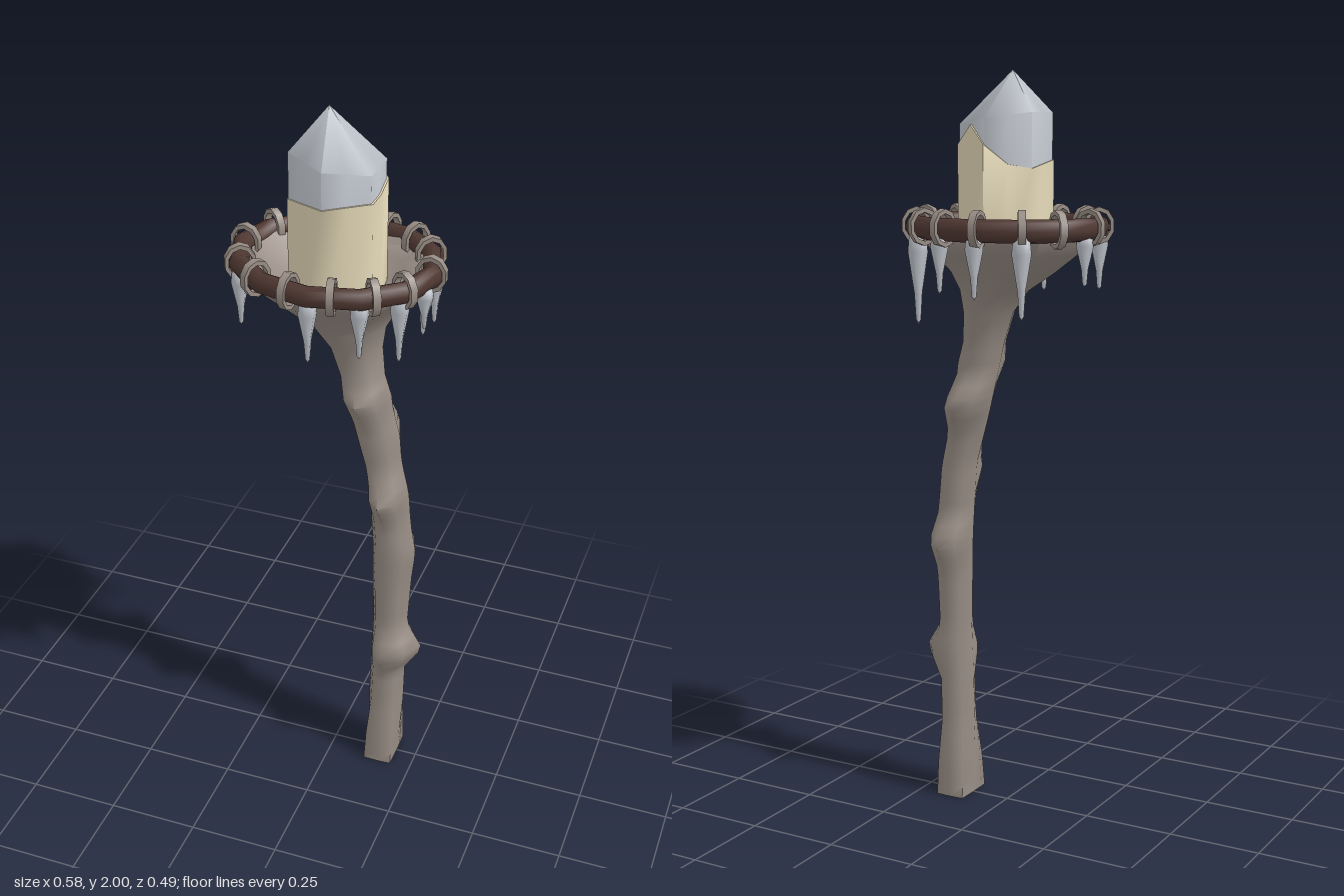
import * as THREE from 'three';
import { toCreasedNormals } from 'three/addons/utils/BufferGeometryUtils.js';

const mat = (name, color, side = THREE.FrontSide) => {
  const m = new THREE.MeshStandardMaterial({ color, side });
  m.name = name;
  return m;
};

// Skin over closed rings of points, listed from bottom to top
function loft(rings, crease) {
  const n = rings[0].length, index = [];
  for (let r = 0; r < rings.length - 1; r++) {
    for (let i = 0; i < n; i++) {
      const a = r * n + i, b = r * n + (i + 1) % n;
      index.push(a, b, b + n, a, b + n, a + n);
    }
  }
  const g = new THREE.BufferGeometry();
  g.setAttribute('position', new THREE.Float32BufferAttribute(rings.flat(2), 3));
  g.setIndex(index);
  return toCreasedNormals(g, crease);
}

// Eight-point ring; q sets the diagonals: 0.5 diamond, 0.71 ellipse, 1 rectangle
function woodRing(y, cx, rx, rz, q) {
  return Array.from({ length: 8 }, (_, i) => {
    const t = i * Math.PI / 4, k = i % 2 ? q * Math.SQRT2 : 1;
    return [cx + Math.sin(t) * k * rx, y, Math.cos(t) * k * rz];
  });
}

// Hexagon with corners at front and back, plus the middle of each side
function hexRing(y, cx, r) {
  return Array.from({ length: 12 }, (_, i) => {
    const t = i * Math.PI / 6, k = r * (i % 2 ? 0.866 : 1);
    return [cx + Math.sin(t) * k * 1.09, y, Math.cos(t) * k];
  });
}

// Shaft stations: y, centre x, half width, half depth, diagonal factor
const stations = [
  [0, 0.15, 0.042, 0.065, 0.97], [0.09, 0.152, 0.046, 0.064, 0.86], [0.21, 0.155, 0.052, 0.061, 0.64],
  [0.48, 0.162, 0.05, 0.056, 0.63], [0.75, 0.167, 0.06, 0.06, 0.63], [0.95, 0.148, 0.053, 0.057, 0.63],
  [1.1, 0.113, 0.06, 0.06, 0.64], [1.29, 0.07, 0.062, 0.062, 0.66],
];
// Knots: y, swelling to the right, swelling to the front (negative: back)
const knots = [[0.41, 0.05, 0.036], [0.73, 0.004, -0.042], [0.93, 0.004, 0.044], [1.12, 0.008, -0.056], [1.23, 0.008, 0.039]];

function shaftRing(y) {
  const k = Math.max(1, stations.findIndex(s => s[0] >= y - 1e-6));
  const a = stations[k - 1], b = stations[k], t = (y - a[0]) / (b[0] - a[0]);
  const ring = woodRing(y, ...[1, 2, 3, 4].map(j => THREE.MathUtils.lerp(a[j], b[j], t)));
  for (const [ky, right, front] of knots) {
    const w = Math.max(0, 1 - Math.abs(y - ky) / 0.08);
    ring.forEach((p, i) => {
      const angle = i * Math.PI / 4;
      p[0] += w * right * Math.max(0, Math.sin(angle));
      p[2] += w * front * Math.max(0, Math.cos(angle) * Math.sign(front));
    });
  }
  return ring;
}

export function createModel() {
  const group = new THREE.Group();
  const wood = mat('wood', 0x988d85);
  const leather = mat('darkBinding', 0x503832);
  const pale = mat('paleCrystal', 0xbdc2c9);
  const cream = mat('creamCrystal', 0xe6dab9, THREE.DoubleSide);
  const add = (name, geo, material, parent = group) => {
    const mesh = new THREE.Mesh(geo, material);
    mesh.name = name;
    parent.add(mesh);
    return mesh;
  };

  // Crooked knotted shaft flaring into a bowl; bowl rows: y, centre x, half width, half depth, diagonal factor
  const shaft = Array.from({ length: 44 }, (_, i) => shaftRing(i * 0.03));
  const bowl = [
    [1.37, 0.054, 0.073, 0.078, 0.68], [1.43, 0.035, 0.1, 0.098, 0.7], [1.48, 0.01, 0.153, 0.13, 0.71],
    [1.53, 0, 0.21, 0.172, 0.72], [1.585, 0, 0.255, 0.21, 0.73], [1.6, 0, 0.24, 0.2, 0.73],
    [1.56, 0, 0.19, 0.16, 0.72], [1.52, 0, 0.12, 0.12, 0.71], [1.5, 0, 0, 0, 1],
  ].map(row => woodRing(...row));
  add('shaftAndBowl', loft([woodRing(0, 0.15, 0, 0, 1), ...shaft, ...bowl], 1.45), wood);

  // Bound rim of the bowl
  const rim = add('rim', new THREE.TorusGeometry(0.255, 0.027, 8, 12), leather);
  rim.geometry.rotateX(Math.PI / 2).scale(1, 1.1, 0.83);
  rim.position.y = 1.596;

  // Pointed crystal with tilted shoulders and an off-centre tip
  const lower = hexRing(1.48, 0.003, 0.114);
  const shoulder = lower.map(([x, , z]) => [x, 1.877 - x * 0.14, z]);
  const tip = lower.map(() => [-0.02, 2, -0.005]);
  add('crystal', loft([lower, shoulder, tip], 1.1), pale);

  // Cream lower part of the crystal with an uneven top edge
  const edge = [1.78, 1.785, 1.79, 1.79, 1.81, 1.86, 1.81, 1.76, 1.75, 1.76, 1.77, 1.775];
  const outer = hexRing(1.48, 0.004, 0.118);
  const raise = ring => ring.map(([x, , z], i) => [x, edge[i], z]);
  add('creamBase', loft([outer, raise(outer), raise(lower)], 1.1), cream);

  // Flat cord bands wrapped round the rim: x, z
  const bands = [
    [-0.03, -0.208], [0.075, -0.2], [0.155, -0.167], [0.215, -0.105], [0.25, 0], [0.215, 0.105], [0.155, 0.165],
    [0.06, 0.2], [-0.05, 0.205], [-0.15, 0.168], [-0.22, 0.1], [-0.25, -0.012], [-0.215, -0.12], [-0.137, -0.168],
  ];
  const bandProfile = [[0.031, -0.01], [0.041, -0.01], [0.041, 0.01], [0.031, 0.01], [0.031, -0.01]];
  const bandGeo = toCreasedNormals(new THREE.LatheGeometry(bandProfile.map(p => new THREE.Vector2(...p)), 10), 0.8);
  bandGeo.rotateX(Math.PI / 2).scale(1, 1.2, 1);
  bands.forEach(([x, z], i) => {
    const band = add('cordBand' + (i + 1), bandGeo, wood);
    band.position.set(x, 1.6, z);
    band.rotation.y = -Math.atan2(z / 0.72, x);
  });

  // Fangs hanging below the rim: x, z, tip height
  const fangs = [
    [-0.215, 0.115, 1.43], [0, 0.207, 1.41], [0.125, 0.18, 1.43], [0.205, 0.11, 1.4], [0.25, 0.05, 1.47],
    [0.243, -0.06, 1.43], [0.19, -0.14, 1.34], [0.09, -0.195, 1.43], [-0.02, -0.207, 1.42],
    [-0.14, -0.175, 1.37], [-0.245, -0.03, 1.45],
  ];
  fangs.forEach(([x, z, tipY], i) => {
    const len = 1.58 - tipY, w = 0.018 + len * 0.035;
    const profile = [[0, 0], [w * 0.25, len * 0.06], [w * 0.4, len * 0.35], [w, len * 0.8], [w * 0.85, len], [0, len + 0.008]];
    const fang = add('fang' + (i + 1), new THREE.LatheGeometry(profile.map(p => new THREE.Vector2(...p)), 6), pale);
    fang.position.set(x, tipY, z);
  });

  return group;
}
